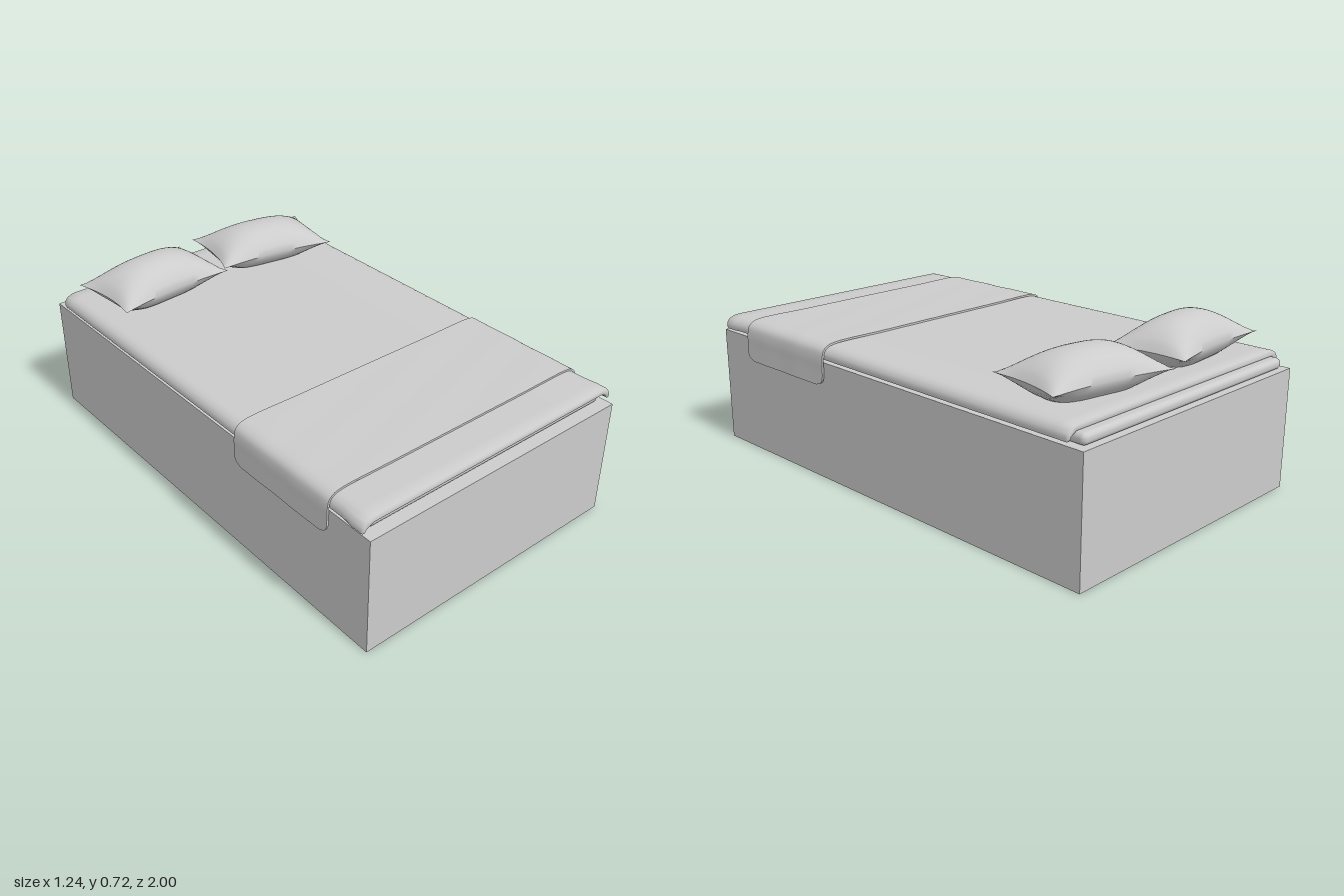
import * as THREE from 'three';
import { toCreasedNormals, mergeGeometries, mergeVertices } from 'three/addons/utils/BufferGeometryUtils.js';
import { RoundedBoxGeometry } from 'three/addons/geometries/RoundedBoxGeometry.js';

const material = new THREE.MeshStandardMaterial({ color: 0xcccccc, side: THREE.DoubleSide });

function addMesh(group, name, geometry) {
  const mesh = new THREE.Mesh(geometry, material);
  mesh.name = name;
  group.add(mesh);
  return mesh;
}

// Surface of nu x nv cells; place(u, v) returns [x, y, z] for u, v in 0..1
function surface(nu, nv, place) {
  const geo = new THREE.PlaneGeometry(1, 1, nu, nv);
  const pos = geo.attributes.position, uv = geo.attributes.uv;
  for (let i = 0; i < pos.count; i++) pos.setXYZ(i, ...place(uv.getX(i), uv.getY(i)));
  geo.deleteAttribute('uv');
  geo.deleteAttribute('normal');
  return geo;
}

// Cushion stretched between four plan corners [x, z]: front left, front right, back right, back left
function pillowGeometry(corners, rise) {
  const seam = 0.615, floor = 0.549;
  const half = (side) => surface(28, 24, (a, b) => {
    const u = a * 2 - 1, v = (b * 2 - 1) * side;
    // edges curve inwards, leaving pointed corners
    const s = (u * (1 - 0.08 * (1 - v * v)) + 1) / 2;
    const t = (v * (1 - 0.14 * (1 - u * u)) + 1) / 2;
    const mix = (k) => THREE.MathUtils.lerp(
      THREE.MathUtils.lerp(corners[0][k], corners[1][k], s),
      THREE.MathUtils.lerp(corners[3][k], corners[2][k], s), t);
    const puff = Math.pow(1 - Math.pow(Math.abs(u), 2.6), 0.75) * Math.pow(1 - Math.pow(Math.abs(v), 2.2), 0.75);
    const y = side > 0 ? seam + rise * puff : Math.max(floor, seam - 0.1 * puff);
    return [mix(0), y, mix(1)];
  });
  return toCreasedNormals(mergeVertices(mergeGeometries([half(1), half(-1)])), 0.9);
}

// Cover with drooping side hems, extruded along the bed
function coverGeometry() {
  const right = [[0.565, 0.525], [0.588, 0.512], [0.596, 0.499], [0.604, 0.499],
    [0.608, 0.51], [0.604, 0.527], [0.592, 0.541], [0.575, 0.549], [0.555, 0.552]];
  const left = right.map(([x, y]) => [-x, y]).reverse();
  const shape = new THREE.Shape([...right, ...left].map((p) => new THREE.Vector2(...p)));
  const geo = new THREE.ExtrudeGeometry(shape, {
    depth: 1.895, steps: 40, bevelEnabled: true, bevelSize: 0.008, bevelOffset: -0.008,
    bevelThickness: 0.01, bevelSegments: 3,
  });
  geo.translate(0, 0, -0.93);
  // hems flare at the two front corners
  const pos = geo.attributes.position;
  for (let i = 0; i < pos.count; i++) {
    const x = pos.getX(i), z = pos.getZ(i);
    if (Math.abs(x) > 0.58) pos.setX(i, x + Math.sign(x) * 0.01 * Math.exp(-(((z - 0.94) / 0.04) ** 2)));
  }
  geo.deleteAttribute('uv');
  geo.deleteAttribute('normal');
  return toCreasedNormals(mergeVertices(geo), 0.75);
}

// Thin throw across the bed, hanging over both sides
function throwGeometry() {
  const half = [[0.621, 0.395], [0.619, 0.45], [0.617, 0.505], [0.609, 0.536], [0.59, 0.552], [0.56, 0.56], [0.3, 0.561]];
  const points = [...half.map(([x, y]) => [-x, y]), ...half.slice().reverse()];
  const curve = new THREE.CatmullRomCurve3(points.map(([x, y]) => new THREE.Vector3(x, y, 0)));
  const length = curve.getLength(), radius = 0.04, cells = 10, ring = 2 * cells + 2;
  const geo = surface(150, ring, (u, v) => {
    const p = curve.getPointAt(u), t = curve.getTangentAt(u);
    const j = Math.round(v * ring) % ring;
    const inner = j > cells;
    const f = inner ? (2 * cells + 1 - j) / cells : j / cells;
    // rounded hem corners
    const d = Math.min(u, 1 - u) * length;
    const inset = d < radius ? radius - Math.sqrt(Math.max(0, radius ** 2 - (radius - d) ** 2)) : 0;
    const z = THREE.MathUtils.lerp(0.808 - inset, 0.298 + inset, f);
    // shallow creases, and a thickness that closes at the hems
    const crease = 0.0012 * Math.sin(p.x * 9 + z * 31) * Math.sin(f * Math.PI);
    const depth = (inner ? 0.008 * Math.min(1, d / 0.012) : 0) - crease;
    return [p.x + t.y * depth, p.y - t.x * depth, z];
  });
  return toCreasedNormals(mergeVertices(geo), 0.9);
}

export function createModel() {
  const bed = new THREE.Group();
  bed.name = 'bed';

  // Box base
  addMesh(bed, 'base', new THREE.BoxGeometry(1.206, 0.486, 2)).position.y = 0.243;

  // Thin mattress showing at head and foot
  addMesh(bed, 'mattress', new RoundedBoxGeometry(1.15, 0.044, 1.935, 4, 0.02)).position.set(0, 0.507, -0.0125);

  addMesh(bed, 'cover', coverGeometry());
  addMesh(bed, 'throwBlanket', throwGeometry());

  // Two pillows, each turned a little
  addMesh(bed, 'rightPillow', pillowGeometry([[-0.535, -0.535], [-0.004, -0.582], [-0.036, -0.912], [-0.562, -0.868]], 0.102));
  addMesh(bed, 'leftPillow', pillowGeometry([[-0.004, -0.606], [0.516, -0.52], [0.57, -0.842], [0.05, -0.937]], 0.093));

  return bed;
}
